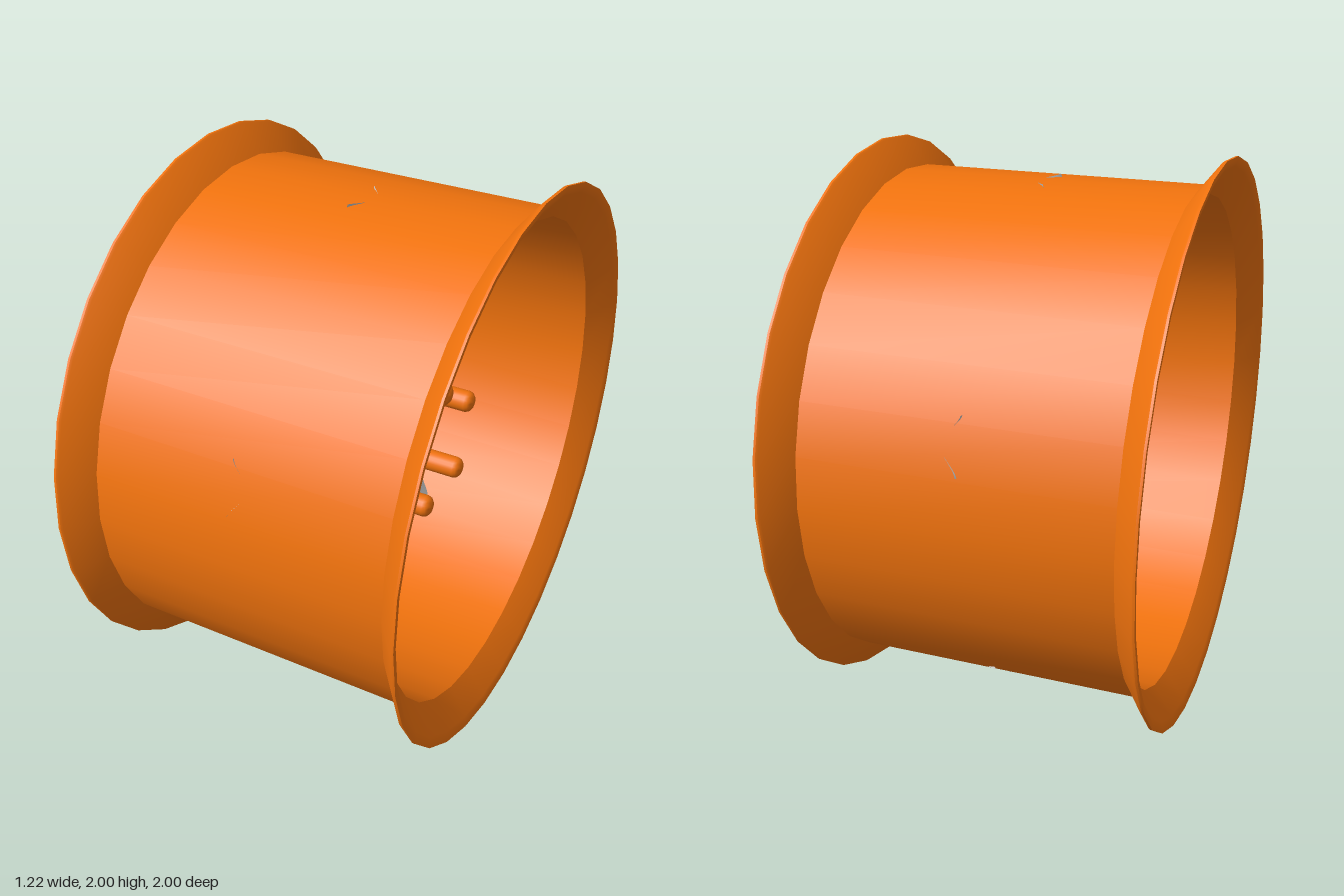
import * as THREE from 'three';
import { mergeGeometries, mergeVertices, toCreasedNormals } from 'three/addons/utils/BufferGeometryUtils.js';

const SPOKES = 5;
const STEP = (Math.PI * 2) / SPOKES;

const orange = new THREE.MeshStandardMaterial({ color: 0xf2730d, side: THREE.DoubleSide });
const grey = new THREE.MeshStandardMaterial({ color: 0xcccccc, side: THREE.DoubleSide });

// Revolves [radius, x] points around the x axis, keeping sharp edges
function revolve(points, sides, crease = 0.5) {
  const geo = new THREE.LatheGeometry(points.map(([r, x]) => new THREE.Vector2(r, x)), sides);
  geo.rotateZ(-Math.PI / 2);
  return toCreasedNormals(geo, crease);
}

function named(name, geo, material) {
  const mesh = new THREE.Mesh(geo, material);
  mesh.name = name;
  return mesh;
}

const curve = (pts) => new THREE.CatmullRomCurve3(pts.map((p) => new THREE.Vector3(...p)), false, 'centripetal');

// One fifth of the dished star: a channel-shaped spoke with its share of the hub.
// Rows run from the hub hole to the tip; points are [x depth, y along, z across].
function spokeGeometry() {
  const hubEdge = curve([[0.04, 0.129, 0.094], [0.0, 0.21, 0.153], [-0.09, 0.287, 0.209]]);
  const spokeEdge = curve([
    [-0.09, 0.287, 0.209], [-0.1, 0.315, 0.168], [-0.105, 0.37, 0.142], [-0.105, 0.45, 0.131],
    [-0.1, 0.6, 0.116], [-0.07, 0.75, 0.105], [-0.02, 0.902, 0.095],
  ]);
  const hubMid = curve([[0.04, 0.16, 0], [0.04, 0.25, 0], [0.015, 0.33, 0]]);
  const spokeMid = curve([
    [0.015, 0.33, 0], [0.0, 0.37, 0], [-0.015, 0.41, 0], [-0.03, 0.48, 0],
    [-0.04, 0.61, 0], [-0.02, 0.755, 0], [0.03, 0.895, 0],
  ]);
  const hubRows = 10, spokeRows = 30, cols = 24;
  const position = [], index = [];
  for (let i = 0; i <= hubRows + spokeRows; i++) {
    const onHub = i <= hubRows;
    const t = onHub ? i / hubRows : (i - hubRows) / spokeRows;
    const e = (onHub ? hubEdge : spokeEdge).getPoint(t);
    const m = (onHub ? hubMid : spokeMid).getPoint(t);
    for (let j = 0; j <= cols; j++) {
      const u = (j / cols) * 2 - 1;
      const fall = THREE.MathUtils.smoothstep(Math.abs(u), 0.15, 1.05);
      position.push(m.x + (e.x - m.x) * fall, m.y + (e.y - m.y) * u * u, e.z * u);
      if (i && j) {
        const d = i * (cols + 1) + j, c = d - 1, b = d - cols - 1, a = b - 1;
        index.push(a, c, b, b, c, d);
      }
    }
  }
  const geo = new THREE.BufferGeometry();
  geo.setAttribute('position', new THREE.Float32BufferAttribute(position, 3));
  geo.setIndex(index);
  return geo;
}

export function createModel() {
  const model = new THREE.Group();
  model.name = 'wheelRim';
  const wheel = new THREE.Group();
  wheel.name = 'wheel';
  wheel.position.y = 1;
  model.add(wheel);

  // Barrel with a flared flange at each end
  const half = [[0.9, 0.52], [0.995, 0.595], [1, 0.602], [1, 0.61], [0.985, 0.61], [0.965, 0.6], [0.87, 0.525]];
  const mirrored = half.map(([r, x]) => [r, -x]).reverse();
  wheel.add(named('barrel', revolve([...mirrored, ...half, mirrored[0]], 32), orange));

  // Five spokes joined into one smooth star
  const arms = [];
  for (let k = 0; k < SPOKES; k++) arms.push(spokeGeometry().rotateX(k * STEP));
  const star = mergeVertices(mergeGeometries(arms), 1e-4);
  star.computeVertexNormals();
  wheel.add(named('spokes', star, grey));

  // Lip around the centre bore
  const lip = [[0.157, 0.03], [0.17, 0.03], [0.17, 0.06], [0.157, 0.06], [0.157, 0.03]];
  wheel.add(named('hubLip', revolve(lip, 48), grey));

  // Long bolts with a rounded inner end and a small socket in the outer end
  const boltProfile = [
    [0, 0.0], [0.02, 0.0], [0.022, -0.028], [0.034, -0.028], [0.04, -0.02],
    [0.04, 0.305], [0.036, 0.318], [0.025, 0.327], [0, 0.331],
  ];
  const boltGeo = revolve(boltProfile, 20, 0.7);
  for (let k = 0; k < SPOKES; k++) {
    const bolt = named('bolt', boltGeo, orange);
    bolt.position.set(0, 0.222 * Math.cos(k * STEP), 0.222 * Math.sin(k * STEP));
    wheel.add(bolt);
  }
  return model;
}
